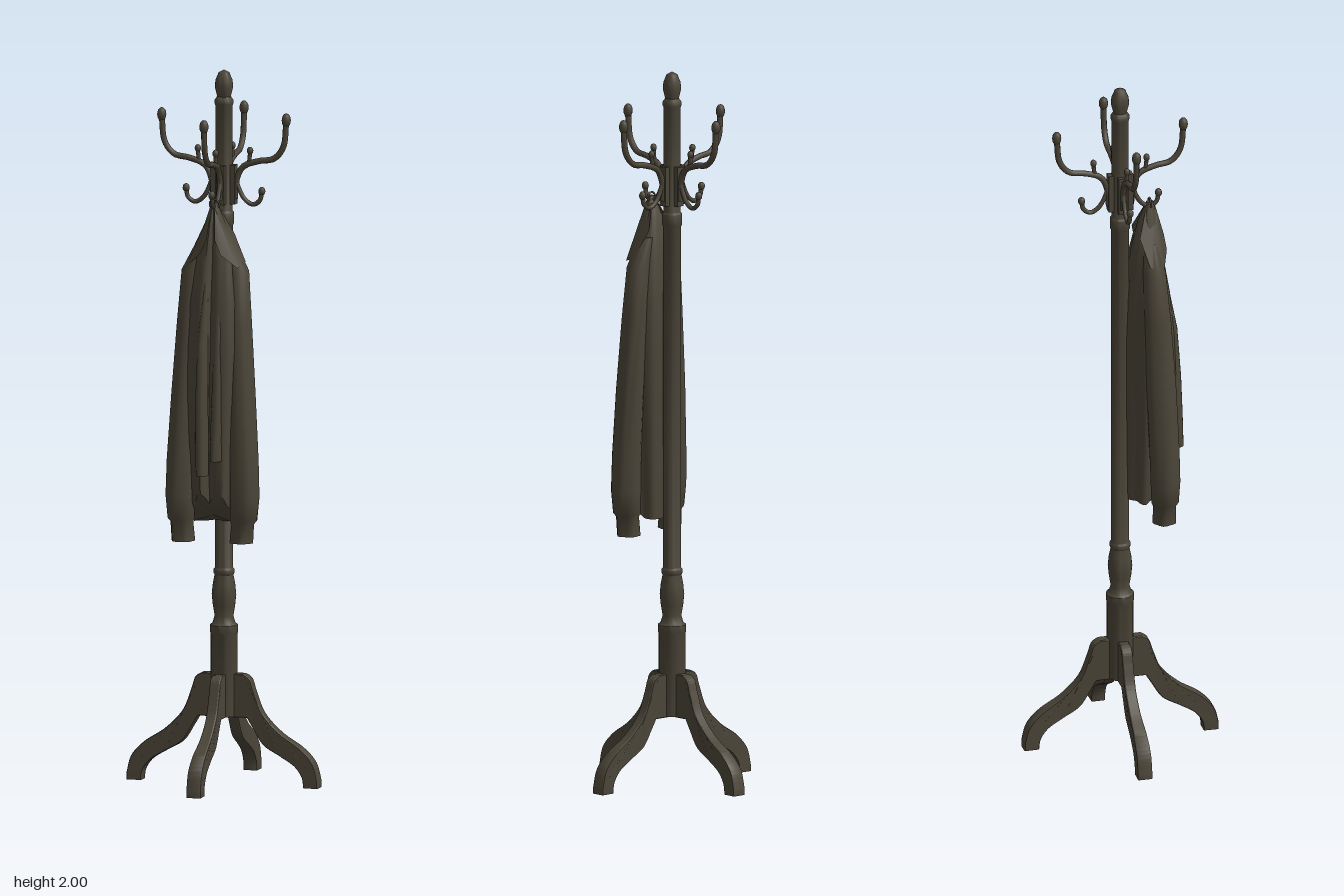
import * as THREE from 'three';
import { toCreasedNormals } from 'three/addons/utils/BufferGeometryUtils.js';

const V = (x, y, z = 0) => new THREE.Vector3(x, y, z);

// Closed skin over rows [y, centre x, centre z, half width, half depth], listed top to bottom.
// fold(angle, t) scales the radius, hem(x, z, t) shifts the height.
function loft(rows, n, fold = () => 1, hem = () => 0) {
  const pos = [], idx = [], m = rows.length;
  [...rows].reverse().forEach(([y, cx, cz, rx, rz], i) => {
    const t = 1 - i / (m - 1);
    for (let j = 0; j < n; j++) {
      const a = (j / n) * Math.PI * 2, f = fold(a, t);
      const x = cx + Math.sin(a) * rx * f, z = cz + Math.cos(a) * rz * f;
      pos.push(x, y + hem(x, z, t), z);
    }
  });
  for (let i = 0; i < m - 1; i++) for (let j = 0; j < n; j++) {
    const a = i * n + j, b = i * n + (j + 1) % n;
    idx.push(a, b, b + n, a, b + n, a + n);
  }
  const bottom = rows[m - 1], top = rows[0], c = m * n;
  pos.push(bottom[1], bottom[0] + hem(bottom[1], bottom[2], 1), bottom[2], top[1], top[0], top[2]);
  for (let j = 0; j < n; j++) {
    const k = (j + 1) % n, u = (m - 1) * n;
    idx.push(c, k, j, c + 1, u + j, u + k);
  }
  const g = new THREE.BufferGeometry();
  g.setAttribute('position', new THREE.Float32BufferAttribute(pos, 3));
  g.setIndex(idx);
  return toCreasedNormals(g, 0.9);
}

export function createModel() {
  const model = new THREE.Group();
  const wood = new THREE.MeshStandardMaterial({ color: 0x4b4538 });
  wood.name = 'dark olive brown';
  const add = (name, geo, parent = model, mat = wood) => {
    const mesh = new THREE.Mesh(geo, mat);
    mesh.name = name;
    parent.add(mesh);
    return mesh;
  };

  // Turned pole with hub, collar, bulge and finial
  const profile = [[0, 0.19], [0.037, 0.19], [0.037, 0.42], [0.039, 0.425], [0.039, 0.445], [0.032, 0.45],
    [0.026, 0.47], [0.031, 0.5], [0.034, 0.53], [0.031, 0.56], [0.026, 0.585], [0.029, 0.59], [0.029, 0.6],
    [0.025, 0.605], [0.025, 1.565], [0.028, 1.57], [0.028, 1.6], [0.024, 1.605], [0.024, 1.9], [0.026, 1.905],
    [0.026, 1.915], [0.019, 1.925], [0.025, 1.95], [0.024, 1.97], [0.015, 1.992], [0, 2]];
  add('pole', toCreasedNormals(new THREE.LatheGeometry(profile.map(p => new THREE.Vector2(...p)), 24), 0.7));

  // Leg silhouette, widening towards the foot
  const legShape = new THREE.Shape();
  legShape.moveTo(0.02, 0.19);
  legShape.lineTo(0.072, 0.19);
  legShape.splineThru([[0.09, 0.16], [0.12, 0.115], [0.17, 0.085], [0.21, 0.06], [0.232, 0.03], [0.237, 0]]
    .map(p => new THREE.Vector2(...p)));
  legShape.lineTo(0.276, 0);
  legShape.lineTo(0.276, 0.02);
  legShape.splineThru([[0.262, 0.068], [0.225, 0.108], [0.165, 0.148], [0.115, 0.2], [0.09, 0.26], [0.078, 0.295], [0.06, 0.308]]
    .map(p => new THREE.Vector2(...p)));
  legShape.lineTo(0.02, 0.308);
  const legGeo = new THREE.ExtrudeGeometry(legShape, { depth: 0.024, curveSegments: 18,
    bevelThickness: 0.003, bevelSize: 0.002, bevelSegments: 1 });
  legGeo.translate(0, 0, -0.012);
  const lp = legGeo.attributes.position;
  for (let i = 0; i < lp.count; i++) {
    const w = 1 + 0.35 * THREE.MathUtils.smoothstep(lp.getX(i), 0.13, 0.278);
    lp.setXYZ(i, lp.getX(i), Math.max(0, lp.getY(i)), lp.getZ(i) * w);
  }
  const legSmooth = toCreasedNormals(legGeo, 0.5);

  // Metal hook parts
  const tube = (pts, r) => new THREE.TubeGeometry(new THREE.CatmullRomCurve3(pts.map(p => V(...p))), 28, r, 8);
  const upper = tube([[0.032, 1.64], [0.036, 1.69], [0.055, 1.73], [0.1, 1.748], [0.145, 1.757], [0.172, 1.79], [0.181, 1.86]], 0.0085);
  const spur = tube([[0.05, 1.725], [0.07, 1.738], [0.076, 1.77]], 0.006);
  const lower = tube([[0.032, 1.71], [0.041, 1.675], [0.06, 1.64], [0.084, 1.626], [0.104, 1.638], [0.11, 1.662]], 0.0065);
  const tips = [[0.181, 1.866, 0.013, 1.5], [0.076, 1.776, 0.009, 1.2], [0.11, 1.664, 0.01, 1.2]];

  for (let i = 0; i < 4; i++) {
    const side = new THREE.Group();
    side.name = 'legAndHook' + (i + 1);
    side.rotation.y = i * Math.PI / 2;
    model.add(side);
    add('leg', legSmooth, side);
    add('upperHook', upper, side);
    add('hookSpur', spur, side);
    add('lowerHook', lower, side);
    add('hookPlate', new THREE.BoxGeometry(0.016, 0.11, 0.024), side).position.set(0.027, 1.68, 0);
    for (const [x, y, r, s] of tips) {
      const tip = add('hookTip', new THREE.SphereGeometry(r, 12, 8), side);
      tip.position.set(x, y, 0);
      tip.scale.y = s;
    }
  }

  const coat = new THREE.Group();
  coat.name = 'coat';
  model.add(coat);

  // Draped body with folds, an open front crease and a hem rising to the front
  const body = [[1.64, 0, 0.085, 0.008, 0.01], [1.58, 0, 0.08, 0.03, 0.028], [1.48, 0, 0.077, 0.062, 0.044],
    [1.36, 0, 0.08, 0.078, 0.06], [1.22, 0, 0.083, 0.082, 0.069], [1.08, -0.002, 0.086, 0.08, 0.07],
    [0.92, -0.004, 0.086, 0.074, 0.068], [0.74, -0.005, 0.082, 0.064, 0.06]];
  const crease = a => Math.exp(-(((a + Math.PI) % (2 * Math.PI) - Math.PI) ** 2) / 0.03);
  add('coatBody', loft(body, 48,
    (a, t) => 1 + 0.1 * t * Math.cos(7 * a + 2 * t) - 0.4 * crease(a),
    (x, z, t) => t * t * t * 1.1 * Math.max(0, z - 0.06)), coat);

  // Sleeves hanging at both sides, gathered at the cuffs
  const sleeve = [[1.53, 0.035, 0.075, 0.018, 0.02], [1.45, 0.062, 0.078, 0.032, 0.032], [1.3, 0.07, 0.085, 0.034, 0.038],
    [1.1, 0.08, 0.092, 0.036, 0.042], [0.92, 0.086, 0.098, 0.04, 0.042], [0.82, 0.088, 0.1, 0.041, 0.041],
    [0.755, 0.086, 0.1, 0.037, 0.037], [0.745, 0.084, 0.1, 0.031, 0.031], [0.692, 0.08, 0.1, 0.032, 0.032]];
  for (const s of [-1, 1]) {
    const rows = sleeve.map(([y, x, z, w, d]) => [y, s * x + (s < 0 ? -0.006 : 0) * (1.53 - y) / 0.8, z + (s > 0 ? -0.008 : 0.004), w, d]);
    add(s > 0 ? 'leftSleeve' : 'rightSleeve', loft(rows, 20, (a, t) => 1 + 0.07 * t * Math.cos(5 * a + s + 4 * t)), coat);
  }

  // Loose front edges of the open coat
  const edge = [[1.42, 0.014, 0.115, 0.008, 0.012], [1.25, 0.018, 0.135, 0.014, 0.024], [1.1, 0.018, 0.145, 0.017, 0.025],
    [0.98, 0.016, 0.15, 0.018, 0.025], [0.885, 0.014, 0.154, 0.017, 0.024]];
  add('rightFrontEdge', loft(edge.map(([y, x, ...r]) => [y, -x, ...r]), 14), coat);
  add('leftFrontEdge', loft(edge.map(([y, x, z, w, d]) => [y + 0.04, x + 0.008, z - 0.014, w, d]), 14), coat);

  // Pointed collar flaps, folded out over the shoulders
  const cloth = new THREE.MeshStandardMaterial({ color: 0x4b4538, side: THREE.DoubleSide });
  cloth.name = 'dark olive brown cloth';
  for (const s of [-1, 1]) {
    const flap = new THREE.BufferGeometry();
    const p = [[0.004, 1.625, 0.1], [0.012, 1.62, 0.07], [0.045, 1.55, 0.045], [0.084, 1.475, 0.065],
      [0.074, 1.462, 0.108], [0.03, 1.5, 0.126], [0.012, 1.54, 0.122]];
    flap.setAttribute('position', new THREE.Float32BufferAttribute(p.flatMap(([x, y, z]) => [s * x, y, z]), 3));
    const f = [0, 2, 1, 0, 3, 2, 0, 4, 3, 0, 5, 4, 0, 6, 5];
    flap.setIndex(s > 0 ? [...f].reverse() : f);
    add(s > 0 ? 'leftCollar' : 'rightCollar', toCreasedNormals(flap, 0.6), coat, cloth);
  }

  // Hanging loop over the front hook
  const loop = add('hangingLoop', new THREE.TorusGeometry(0.014, 0.003, 6, 16), coat);
  loop.position.set(0, 1.635, 0.085);
  return model;
}
